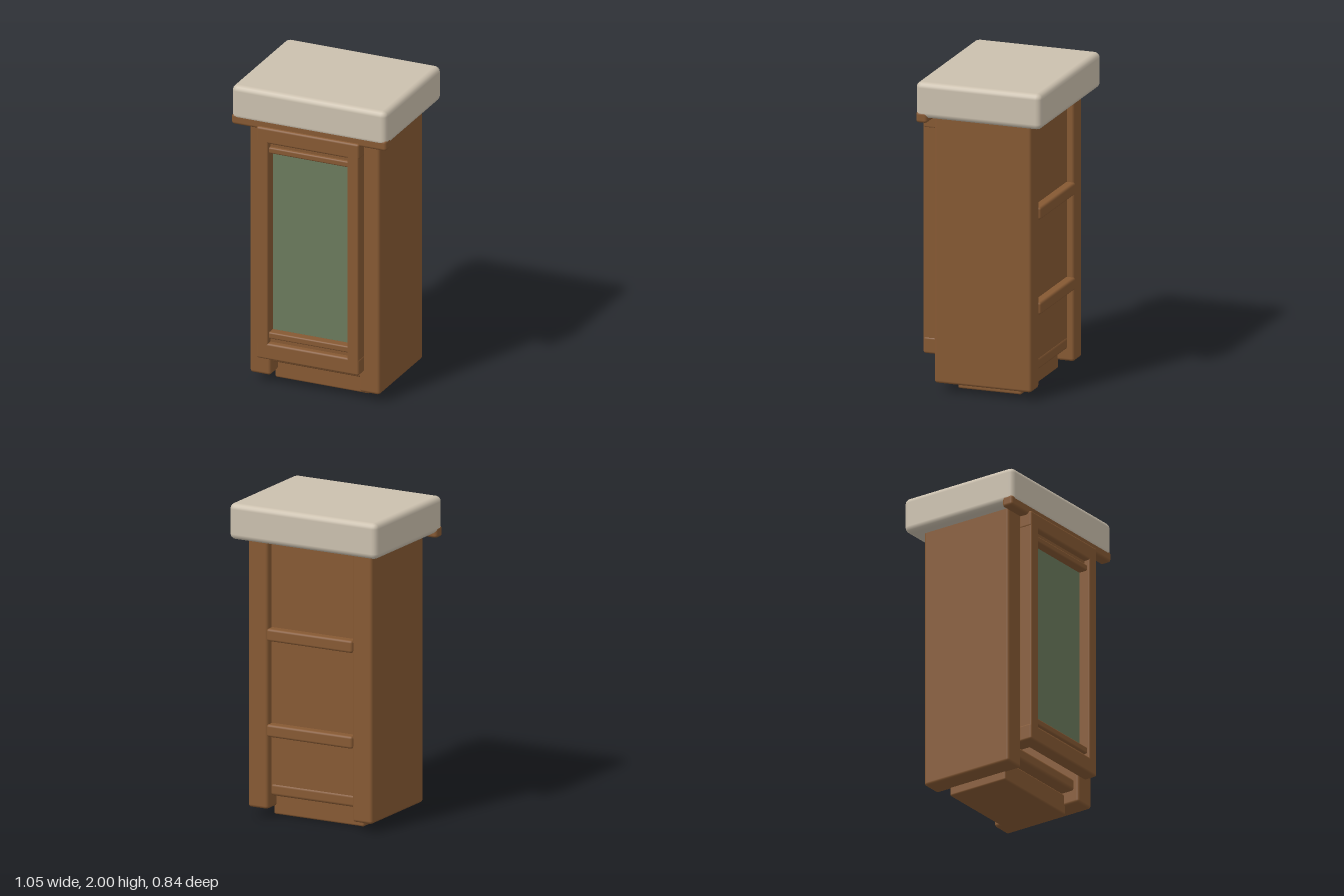
import * as THREE from 'three';
import { RoundedBoxGeometry } from 'three/addons/geometries/RoundedBoxGeometry.js';

export function createModel() {
  const make = (name, color) => {
    const m = new THREE.MeshStandardMaterial({ color });
    m.name = name;
    return m;
  };
  const wood = make('wood', 0x865933);
  const stone = make('stone', 0xcbc0ae);
  const glass = make('greenGlass', 0x6b7a5c);

  const model = new THREE.Group();
  model.name = 'cabinet';

  // Soft-edged box given by its limits on each axis
  const box = (parent, name, mat, [x0, x1], [y0, y1], [z0, z1], r = 0.014) => {
    const mesh = new THREE.Mesh(new RoundedBoxGeometry(x1 - x0, y1 - y0, z1 - z0, 2, r), mat);
    mesh.position.set((x0 + x1) / 2, (y0 + y1) / 2, (z0 + z1) / 2);
    mesh.name = name;
    parent.add(mesh);
  };

  // Countertop and the moulding under its front edge
  box(model, 'countertop', stone, [-0.525, 0.525], [1.77, 2], [-0.42, 0.408], 0.036);
  box(model, 'frontMoulding', wood, [-0.525, 0.525], [1.74, 1.81], [0.33, 0.405], 0.018);

  // Thick side walls
  for (const s of [-1, 1]) {
    const x = s < 0 ? [-0.44, -0.3] : [0.3, 0.44];
    box(model, s < 0 ? 'rightWall' : 'leftWall', wood, x, [0.055, 1.79], [-0.325, 0.315], 0.018);
  }

  // Plinth, floor, back panel and shelves that poke through the back
  box(model, 'plinth', wood, [-0.32, 0.32], [0, 0.135], [-0.215, 0.205], 0.012);
  box(model, 'floor', wood, [-0.305, 0.305], [0.135, 0.215], [-0.285, 0.285], 0.02);
  box(model, 'backPanel', wood, [-0.31, 0.31], [0.15, 1.79], [-0.28, -0.23], 0.005);
  for (const y of [0.52, 1.13]) {
    box(model, 'shelf', wood, [-0.305, 0.305], [y, y + 0.08], [-0.336, 0.25], 0.016);
  }

  // Framed door
  const door = new THREE.Group();
  door.name = 'door';
  model.add(door);
  const z = [0.33, 0.423];
  for (const [y0, y1] of [[0.21, 0.318], [1.658, 1.762]]) {
    box(door, 'doorRail', wood, [-0.348, 0.348], [y0, y1], z);
  }
  for (const [x0, x1] of [[-0.345, -0.268], [0.268, 0.345]]) {
    box(door, 'doorStile', wood, [x0, x1], [0.23, 1.745], z, 0.01);
  }
  // Inner ledges above and below the pane
  for (const [y0, y1] of [[0.345, 0.388], [1.588, 1.628]]) {
    box(door, 'paneLedge', wood, [-0.275, 0.275], [y0, y1], [0.34, 0.405], 0.01);
  }
  for (const [y0, y1] of [[0.31, 0.355], [1.618, 1.665]]) {
    box(door, 'paneBacking', wood, [-0.275, 0.275], [y0, y1], [0.335, 0.385], 0.004);
  }
  // Wooden board behind the pane, and the pane itself
  box(door, 'doorBoard', wood, [-0.3, 0.3], [0.35, 1.62], [0.318, 0.338], 0.004);
  const pane = new THREE.Mesh(new THREE.BoxGeometry(0.55, 1.22, 0.008), glass);
  pane.position.set(0, 0.988, 0.342);
  pane.name = 'pane';
  door.add(pane);

  return model;
}
